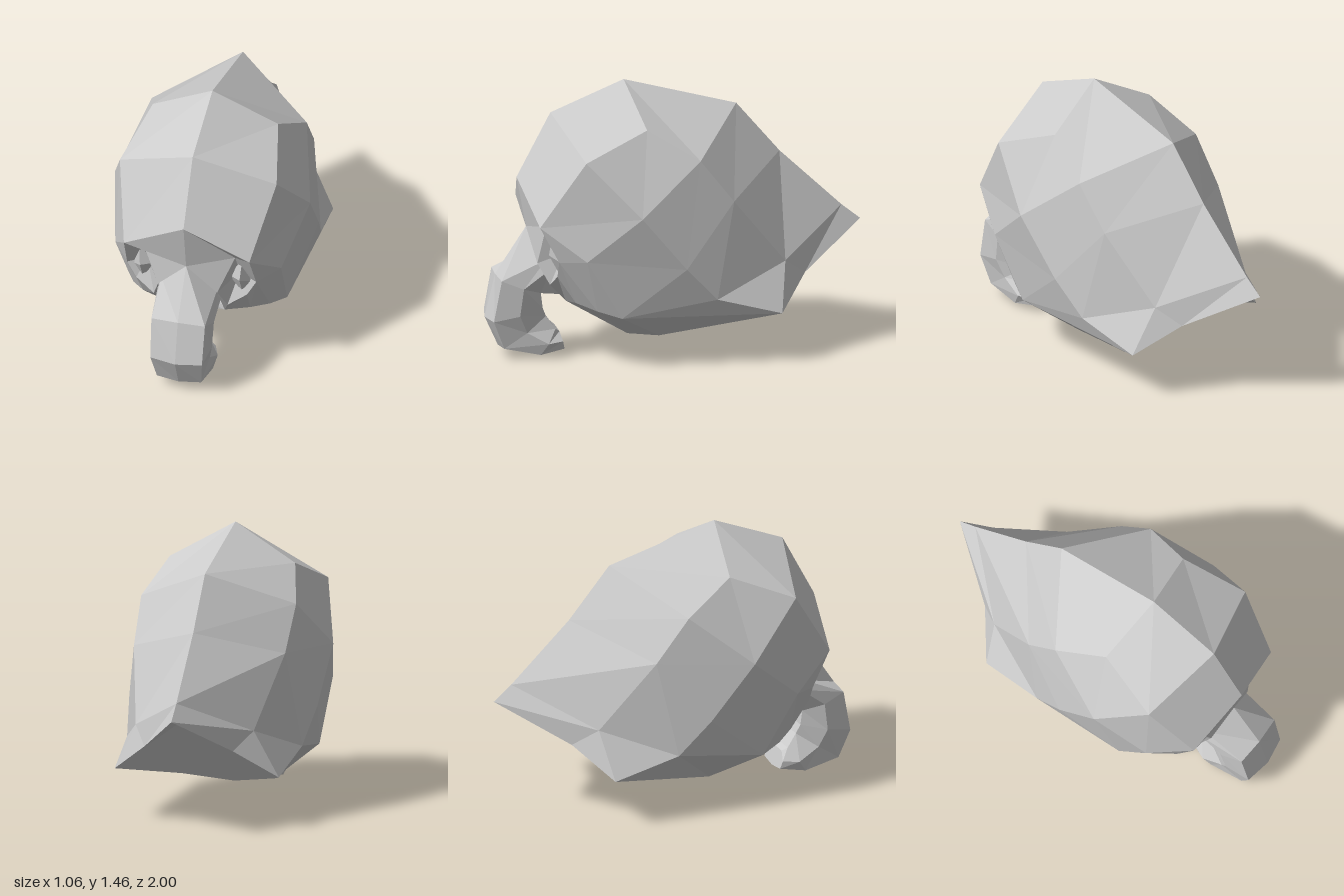
import * as THREE from 'three';

const material = new THREE.MeshStandardMaterial({ color: 0xcccccc, flatShading: true, side: THREE.DoubleSide });

// Flat-shaded mesh from polygons, each a list of [x, y, z] corners fanned into triangles
function polyMesh(name, polygons) {
  const positions = [];
  for (const p of polygons) {
    for (let i = 1; i < p.length - 1; i++) positions.push(...p[0], ...p[i], ...p[i + 1]);
  }
  const geometry = new THREE.BufferGeometry();
  geometry.setAttribute('position', new THREE.Float32BufferAttribute(positions, 3));
  geometry.computeVertexNormals();
  const mesh = new THREE.Mesh(geometry, material);
  mesh.name = name;
  return mesh;
}

// Adds the mirror image of each polygon across x = 0
function mirrored(polygons) {
  return polygons.concat(polygons.map((p) => p.map(([x, y, z]) => [-x, y, z]).reverse()));
}

// Lines running from the brow over the skull to the back
const ridge = [[0, 0.96, 0.83], [0, 1.3, 0.65], [0, 1.46, 0.26], [0, 1.3, -0.34], [0, 1.03, -0.57], [0, 0.72, -0.9], [0, 0.64, -1]];
const temple = [[0.34, 0.77, 0.77], [0.425, 1.13, 0.54], [0.34, 1.27, 0.2], [0.42, 1.11, -0.07], [0.41, 0.88, -0.25], [0.32, 0.52, -0.54], [0.24, 0.43, -0.66]];
const side = [[0.53, 0.84, 0.26], [0.51, 0.55, 0.02], [0.475, 0.37, -0.15], [0.445, 0.27, -0.5]];

// Jaw, neck and cheek corners
const cheek = [0.45, 0.6, 0.54], jaw = [0.43, 0.28, 0.35], jawFront = [0.37, 0.31, 0.47];
const throat = [0.25, 0.13, 0.12], chin = [0, 0.08, 0.24], neck = [0, 0.6, -0.2];
const lip = [0, 0.32, 0.6], mouth = [0.16, 0.32, 0.6], cheekLow = [0.29, 0.34, 0.57];

// Corners around the eye and the root of the nose
const bridge = [0, 0.69, 0.78], nostril = [0.16, 0.53, 0.75], browInner = [0.25, 0.75, 0.72];
const eyeOuter = [0.35, 0.58, 0.67], eyeLow = [0.3, 0.49, 0.67], eyeInner = [0.2, 0.42, 0.69];
const socket = [0.25, 0.6, 0.63];

function skull() {
  const [b0, b1, b2, b3, b4, b5, b6] = temple;
  const [c1, c2, c3, c4] = side;
  const faces = [];
  for (let i = 0; i < ridge.length - 1; i++) faces.push([ridge[i], temple[i], temple[i + 1], ridge[i + 1]]);
  faces.push(
    [b1, c1, b2], [b2, c1, b3], [b3, c1, c2, b4], [b4, c2, c3], [b4, c3, b5], [b5, c3, c4], [b5, c4, b6],
    [b0, cheek, c1, b1], [cheek, jawFront, jaw], [cheek, jaw, c2, c1], [c2, jaw, c3]
  );
  return polyMesh('skull', mirrored(faces));
}

function jawAndNeck() {
  const c3 = side[2], c4 = side[3], back = ridge[6], nape = temple[6];
  return polyMesh('jawAndNeck', mirrored([
    [jaw, throat, c4, c3], [jawFront, chin, throat, jaw],
    [mouth, chin, jawFront, cheekLow], [lip, chin, mouth],
    [throat, chin, neck], [c4, throat, neck], [nape, c4, neck], [back, nape, neck]
  ]));
}

function face() {
  const brow = temple[0];
  const rim = [browInner, nostril, eyeInner, eyeLow, eyeOuter];
  const faces = rim.map((p, i) => [p, rim[(i + 1) % rim.length], socket]);
  faces.push(
    [ridge[0], bridge, browInner, brow], [bridge, nostril, browInner], [browInner, eyeOuter, brow],
    [brow, eyeOuter, cheek], [eyeOuter, eyeLow, cheekLow, jawFront, cheek],
    [eyeLow, eyeInner, mouth, cheekLow], [nostril, mouth, eyeInner]
  );
  return polyMesh('face', mirrored(faces));
}

// Faceted diamond set into each socket
function eyes() {
  const rim = [[0.28, 0.72, 0.69], [0.2, 0.6, 0.67], [0.27, 0.49, 0.65], [0.33, 0.56, 0.64]];
  return polyMesh('eyes', mirrored(rim.map((p, i) => [p, rim[(i + 1) % 4], [0.27, 0.6, 0.71]])));
}

// Drooping nose that curls back under itself: front [y, z], back [y, z], half width, depth of front corners
function nose() {
  const sections = [
    [[0.69, 0.78], [0.34, 0.6], 0.155, 0.42],
    [[0.44, 0.945], [0.35, 0.72], 0.145, 0.04],
    [[0.21, 1.0], [0.27, 0.71], 0.14, 0.08],
    [[0.055, 0.93], [0.22, 0.69], 0.12, 0.05],
    [[0.0, 0.74], [0.15, 0.64], 0.13, 0.15],
    [[0.03, 0.59], [0.13, 0.615], 0.1, 0.12]
  ];
  const rings = sections.map(([front, back, w, t]) => {
    const at = (x, s) => [x, THREE.MathUtils.lerp(front[0], back[0], s), THREE.MathUtils.lerp(front[1], back[1], s)];
    const half = [[w, t], [w * 1.12, 0.55], [w * 0.7, 1]];
    return [at(0, 0), ...half.map(([x, s]) => at(x, s)), ...half.reverse().map(([x, s]) => at(-x, s))];
  });
  const faces = [];
  const n = rings[0].length;
  for (let i = 0; i < rings.length - 1; i++) {
    for (let j = 0; j < n; j++) {
      const k = (j + 1) % n;
      faces.push([rings[i][j], rings[i + 1][j], rings[i + 1][k], rings[i][k]]);
    }
  }
  faces.push([...rings[rings.length - 1]].reverse());
  return polyMesh('nose', faces);
}

export function createModel() {
  const group = new THREE.Group();
  group.name = 'head';
  group.add(skull(), jawAndNeck(), face(), eyes(), nose());
  return group;
}
